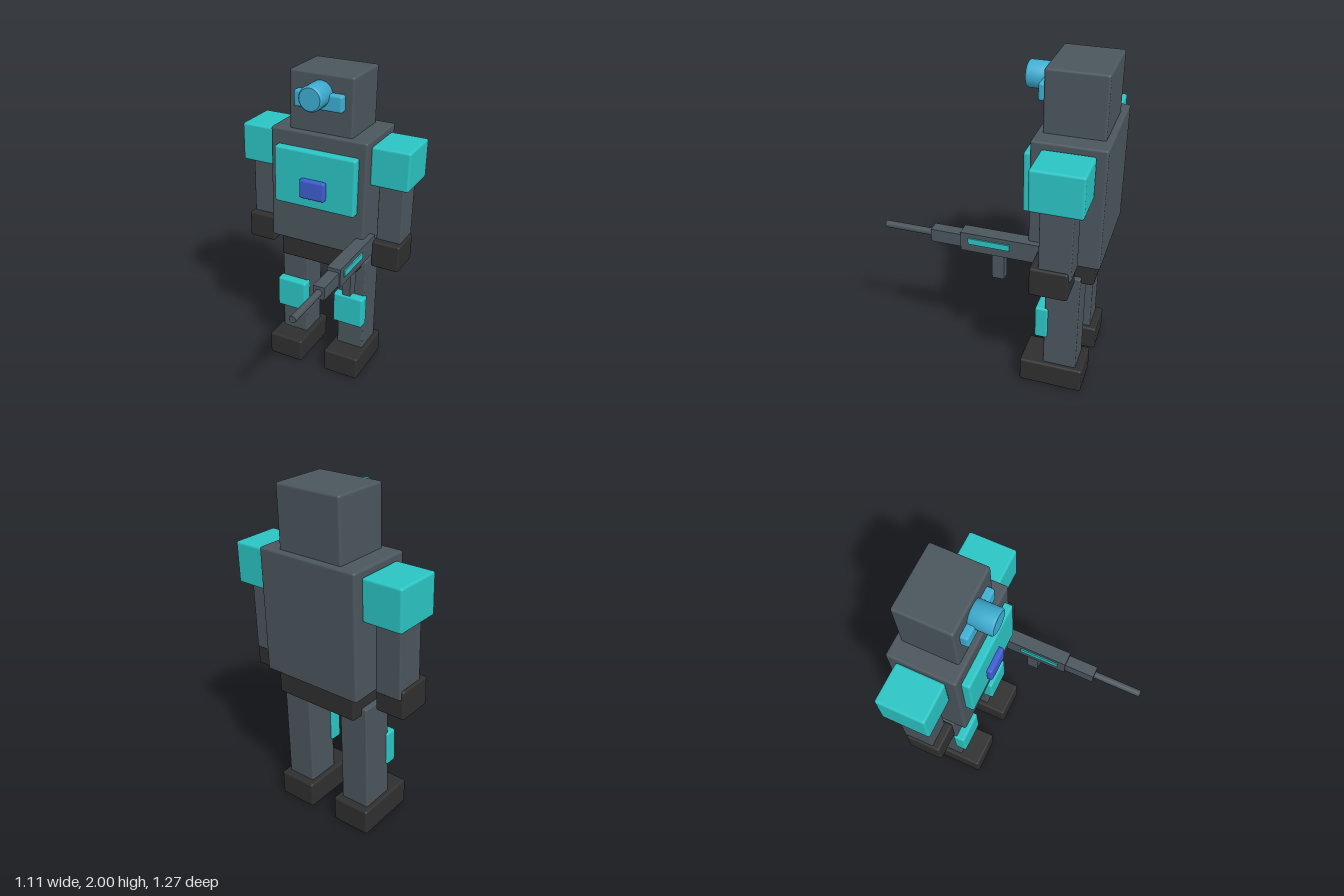
import * as THREE from 'three';
import { RoundedBoxGeometry } from 'three/addons/geometries/RoundedBoxGeometry.js';

const paint = (name, color) => {
  const m = new THREE.MeshStandardMaterial({ color });
  m.name = name;
  return m;
};

export function createModel() {
  const steel = paint('slate steel', 0x4b565d);
  const dark = paint('dark rubber', 0x302f2f);
  const teal = paint('teal armour', 0x2bc4c4);
  const sky = paint('sky blue visor', 0x3eaed2);
  const blue = paint('core blue', 0x3f5cd0);

  const robot = new THREE.Group();
  robot.name = 'robot';

  const add = (parent, name, geometry, material, x, y, z) => {
    const mesh = new THREE.Mesh(geometry, material);
    mesh.name = name;
    mesh.position.set(x, y, z);
    parent.add(mesh);
    return mesh;
  };

  // Box given by its extents on each axis; bevel 0 leaves the edges sharp
  const box = (parent, name, material, [x0, x1], [y0, y1], [z0, z1], bevel = 0.014) => {
    const size = [x1 - x0, y1 - y0, z1 - z0];
    const geometry = bevel
      ? new RoundedBoxGeometry(...size, 3, bevel)
      : new THREE.BoxGeometry(...size);
    return add(parent, name, geometry, material, (x0 + x1) / 2, (y0 + y1) / 2, (z0 + z1) / 2);
  };

  // Head and trunk
  box(robot, 'head', steel, [-0.206, 0.206], [1.63, 2], [-0.6, -0.26]);
  box(robot, 'torso', steel, [-0.316, 0.316], [0.918, 1.647], [-0.635, -0.225]);
  box(robot, 'pelvis', dark, [-0.268, 0.268], [0.77, 0.94], [-0.6, -0.26]);
  box(robot, 'chestPlate', teal, [-0.268, 0.268], [1.188, 1.55], [-0.25, -0.176]);
  box(robot, 'chestCore', blue, [-0.084, 0.084], [1.258, 1.38], [-0.2, -0.145]);

  // Visor bar and protruding round lens
  box(robot, 'visorBar', sky, [-0.156, 0.154], [1.797, 1.897], [-0.29, -0.216]);
  const lensProfile = [
    [0, -0.09], [0.076, -0.09], [0.076, 0.062], [0.073, 0.07], [0.066, 0.075], [0.066, 0.075], [0, 0.075],
  ].map(([r, h]) => new THREE.Vector2(r, h));
  const lens = add(robot, 'visorLens', new THREE.LatheGeometry(lensProfile, 32), sky, -0.002, 1.884, -0.196);
  lens.rotation.x = Math.PI / 2;

  // Mirrored limbs
  for (const s of [-1, 1]) {
    const side = s > 0 ? 'left' : 'right';
    const span = (a, b) => (s > 0 ? [a, b] : [-b, -a]);

    const arm = new THREE.Group();
    arm.name = side + 'Arm';
    robot.add(arm);
    box(arm, 'shoulder', teal, span(0.314, 0.555), [1.368, 1.61], [-0.577, -0.286]);
    box(arm, 'armShaft', steel, span(0.354, 0.512), [0.95, 1.42], [-0.52, -0.338], 0.008);
    box(arm, 'hand', dark, span(0.343, 0.527), [0.828, 1.003], [-0.507, -0.29]);

    const leg = new THREE.Group();
    leg.name = side + 'Leg';
    robot.add(leg);
    box(leg, 'legShaft', steel, span(0.116, 0.298), [0.1, 0.818], [-0.53, -0.328], 0.008);
    box(leg, 'kneePad', teal, span(0.104, 0.31), [0.355, 0.57], [-0.35, -0.272]);
    box(leg, 'foot', dark, span(0.085, 0.327), [0, 0.16], [-0.575, -0.187]);
  }

  // Blaster held beside the left hand
  const blaster = new THREE.Group();
  blaster.name = 'blaster';
  robot.add(blaster);
  box(blaster, 'receiver', steel, [0.268, 0.352], [0.918, 1.035], [-0.325, 0.162], 0);
  box(blaster, 'foreEnd', steel, [0.275, 0.345], [0.935, 1.015], [0.15, 0.345], 0);
  box(blaster, 'grip', steel, [0.282, 0.335], [0.752, 0.93], [-0.092, -0.02], 0);
  for (const x of [0.265, 0.356]) {
    box(blaster, 'sideStrip', teal, [x - 0.0045, x + 0.0045], [0.97, 1.007], [-0.13, 0.115], 0);
  }
  const barrel = add(blaster, 'barrel', new THREE.CylinderGeometry(0.021, 0.021, 0.31, 16), steel, 0.31, 0.976, 0.485);
  barrel.rotation.x = Math.PI / 2;

  return robot;
}
